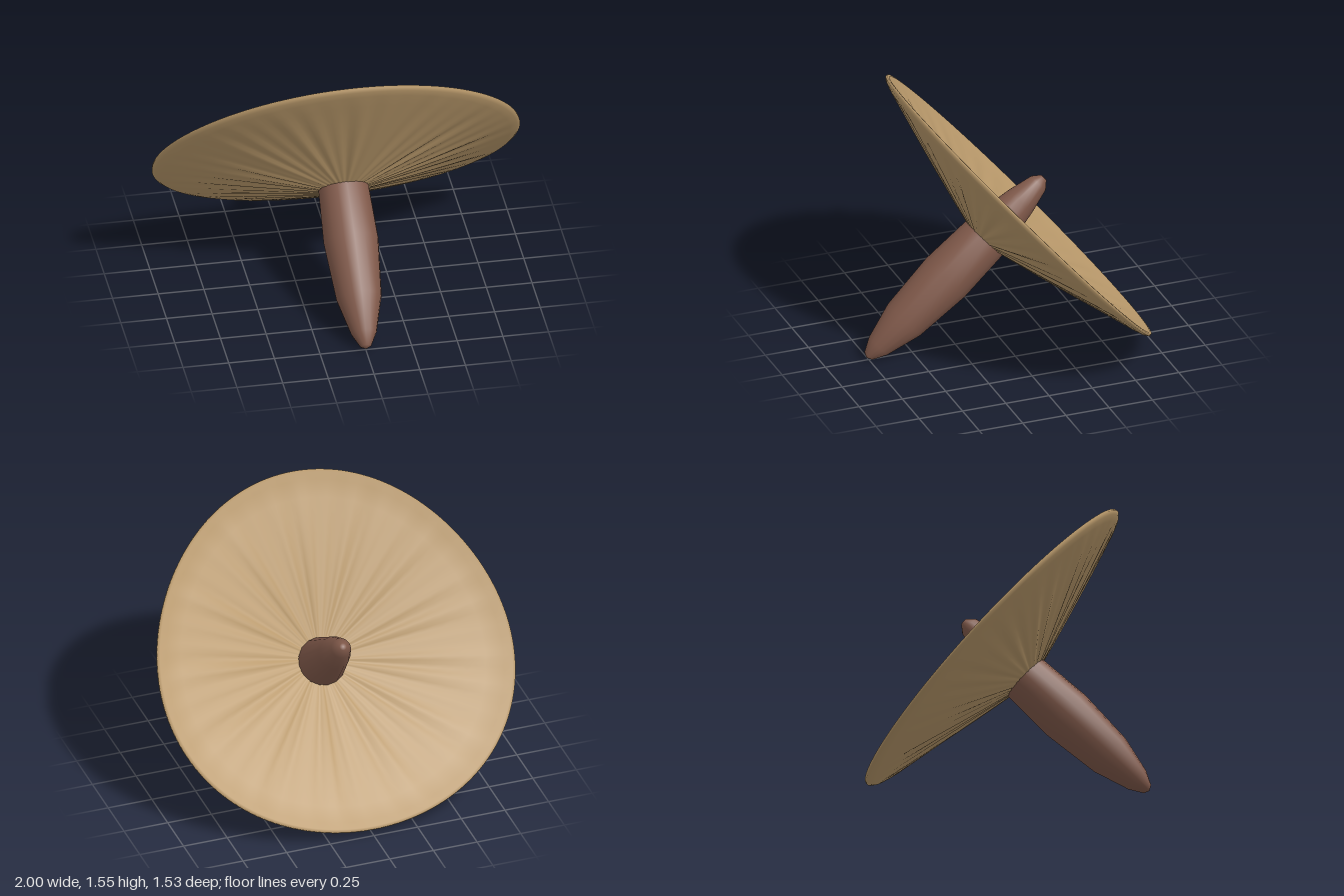
import * as THREE from 'three';
import { mergeVertices } from 'three/addons/utils/BufferGeometryUtils.js';

// Lathe a profile of [radius, height] pairs, optionally reshape it, and smooth it across the seam
function lathe(profile, segments, reshape) {
  const geo = new THREE.LatheGeometry(profile.map(([r, h]) => new THREE.Vector2(r, h)), segments);
  if (reshape) {
    const p = geo.attributes.position;
    const v = new THREE.Vector3();
    for (let i = 0; i < p.count; i++) {
      reshape(v.fromBufferAttribute(p, i));
      p.setXYZ(i, v.x, v.y, v.z);
    }
  }
  geo.deleteAttribute('uv');
  geo.deleteAttribute('normal');
  const merged = mergeVertices(geo, 1e-5);
  merged.computeVertexNormals();
  return merged;
}

// Shallow cone shell: underside outwards, rolled rim, then the upper face back inwards
function capProfile() {
  const under = [], upper = [];
  for (let i = 0; i <= 9; i++) {
    const r = 0.1 + (0.84 * i) / 9;
    const h = -0.272 + (r - 0.1) * 0.277;
    under.push([r, h]);
    upper.unshift([r, h + 0.022]);
  }
  const rim = [[0.98, -0.024], [0.997, -0.01], [0.995, 0.002], [0.98, 0.003]];
  return [...under, ...rim, ...upper];
}

// Uneven outline and fine radial pleats that fade out at the centre and the rim
function pleat(v) {
  const r = Math.hypot(v.x, v.z);
  const a = Math.atan2(v.z, v.x);
  const outline = 1 - 0.021 * r * (Math.sin(a) + Math.sin(3 * a));
  const fade = Math.max(0, 4 * r * (1 - r) - 0.2);
  const wave = Math.sin(36 * a) + 0.6 * Math.sin(23 * a + 1) + 0.4 * Math.sin(11 * a + 2);
  v.set(v.x * outline, v.y + 0.005 * fade * wave, v.z * outline);
}

export function createModel() {
  const model = new THREE.Group();
  model.name = 'spinningTop';

  const cap = new THREE.Mesh(
    lathe(capProfile(), 180, pleat),
    new THREE.MeshStandardMaterial({ color: 0xb8986a, side: THREE.DoubleSide })
  );
  cap.name = 'pleatedDisc';

  // Spindle, pointed at the foot and tapered at the grip
  const spindle = new THREE.Mesh(
    lathe([
      [0, -1.17], [0.03, -1.155], [0.07, -1.08], [0.124, -0.88], [0.15, -0.56],
      [0.138, -0.27], [0.089, 0.017], [0.055, 0.153], [0.02, 0.194], [0, 0.196],
    ], 16),
    new THREE.MeshStandardMaterial({ color: 0x80594a })
  );
  spindle.name = 'spindle';
  spindle.position.z = -0.017;

  // Lean the whole top backwards
  const body = new THREE.Group();
  body.name = 'tiltedBody';
  body.rotation.x = -0.85;
  body.position.set(0, 0.803, -0.105);
  body.add(cap, spindle);
  model.add(body);
  return model;
}
